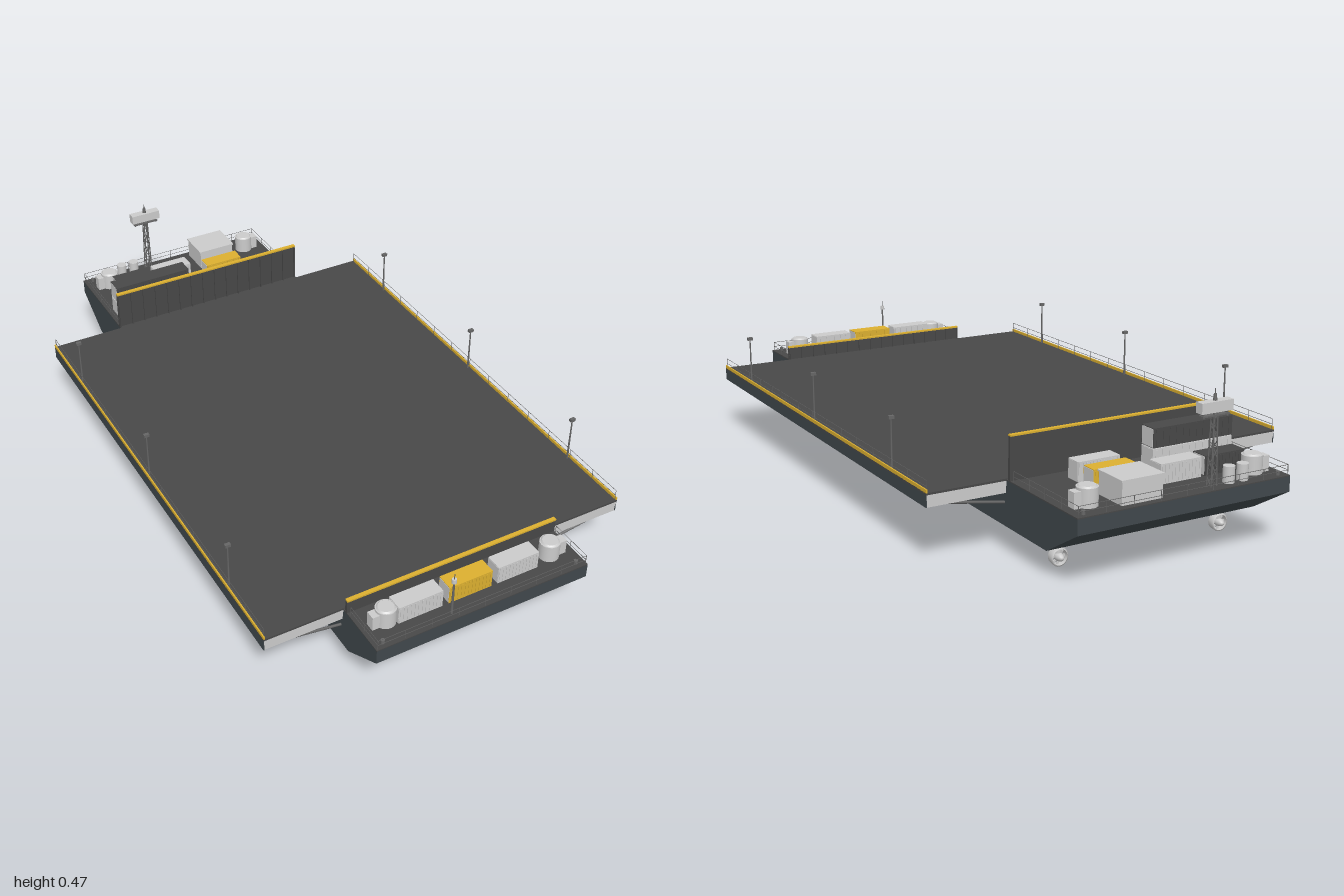
import * as THREE from 'three';

const mat = (color) => new THREE.MeshStandardMaterial({ color });
const grey = mat(0xcccccc);
const hullDark = mat(0x40484c);
const deckDark = mat(0x484848);
const yellow = mat(0xdcb030);
const postDark = mat(0x666666);

export function createModel() {
  const root = new THREE.Group();

  const add = (name, geo, m, x = 0, y = 0, z = 0, parent = root) => {
    const mesh = new THREE.Mesh(geo, m);
    mesh.name = name;
    mesh.position.set(x, y, z);
    parent.add(mesh);
    return mesh;
  };
  // Box given by its minimum and maximum on each axis
  const box = (name, m, x0, x1, y0, y1, z0, z1, parent = root) =>
    add(name, new THREE.BoxGeometry(x1 - x0, y1 - y0, z1 - z0), m,
      (x0 + x1) / 2, (y0 + y1) / 2, (z0 + z1) / 2, parent);
  const cyl = (name, m, r, y0, y1, x, z, parent = root, r2 = r, n = 16) =>
    add(name, new THREE.CylinderGeometry(r2, r, y1 - y0, n), m, x, (y0 + y1) / 2, z, parent);
  // Thin round bar between two points
  const bar = (name, m, a, b, r, parent = root, n = 6) => {
    const p = new THREE.Vector3(...a), q = new THREE.Vector3(...b);
    const mesh = add(name, new THREE.CylinderGeometry(r, r, p.distanceTo(q), n), m, 0, 0, 0, parent);
    mesh.position.copy(p).add(q).multiplyScalar(0.5);
    mesh.quaternion.setFromUnitVectors(new THREE.Vector3(0, 1, 0), q.sub(p).normalize());
    return mesh;
  };
  const group = (name) => {
    const g = new THREE.Group();
    g.name = name;
    root.add(g);
    return g;
  };

  // Hull with raked ends, extruded across the beam
  const profile = new THREE.Shape([
    [-1, 0.203], [-1, 0.16], [-0.86, 0.075], [0.86, 0.075], [1, 0.16], [1, 0.203],
  ].map(([z, y]) => new THREE.Vector2(z, y)));
  const hullGeo = new THREE.ExtrudeGeometry(profile, { depth: 0.666, bevelEnabled: false });
  hullGeo.translate(0, 0, -0.333).rotateY(Math.PI / 2);
  add('hull', hullGeo, hullDark);

  // Decks
  box('mainDeck', deckDark, -0.568, 0.568, 0.202, 0.208, -0.66, 0.83);
  box('aftDeck', deckDark, -0.333, 0.333, 0.202, 0.206, -1, -0.66);
  box('foreDeck', deckDark, -0.333, 0.333, 0.202, 0.206, 0.83, 1);

  // Railing: two rails with evenly spaced posts
  const railing = (name, a, b, h, count) => {
    const g = group(name);
    for (const k of [0.5, 1])
      bar('rail', postDark, [a[0], a[1] + h * k, a[2]], [b[0], b[1] + h * k, b[2]], 0.0008, g, 4);
    for (let i = 0; i <= count; i++) {
      const x = a[0] + (b[0] - a[0]) * i / count, z = a[2] + (b[2] - a[2]) * i / count;
      cyl('railPost', postDark, 0.001, a[1], a[1] + h, x, z, g, 0.001, 4);
    }
  };

  for (const s of [-1, 1]) {
    const side = s > 0 ? 'left' : 'right';
    const wing = group(side + 'Wing');
    const span = (name, m, xa, xb, y0, y1, z0, z1) =>
      box(name, m, Math.min(s * xa, s * xb), Math.max(s * xa, s * xb), y0, y1, z0, z1, wing);
    // Side wing: slab, edge girder, kerb, cross beams and braces
    span('wingSlab', grey, 0.333, 0.566, 0.187, 0.202, -0.66, 0.83);
    span('edgeGirder', hullDark, 0.565, 0.568, 0.168, 0.203, -0.659, 0.829);
    span('edgeKerb', yellow, 0.564, 0.568, 0.207, 0.217, -0.66, 0.83);
    for (let i = 0; i < 11; i++) {
      const z = 0.82 - i * 0.147;
      span('crossBeam', grey, 0.333, 0.565, 0.168, 0.188, z - 0.008, z + 0.008);
      bar('brace', postDark, [s * 0.33, 0.14, z], [s * 0.52, 0.172, z], 0.004, wing);
    }
    railing(side + 'Railing', [s * 0.564, 0.207, -0.655], [s * 0.564, 0.207, 0.825], 0.033, 14);
    railing(side + 'AftRailing', [s * 0.328, 0.205, -0.995], [s * 0.328, 0.205, -0.69], 0.03, 4);
    railing(side + 'ForeRailing', [s * 0.328, 0.205, 0.86], [s * 0.328, 0.205, 0.995], 0.03, 2);

    // Lamp posts along the deck edge
    for (const z of [-0.44, 0.085, 0.61]) {
      const lamp = group('lampPost');
      cyl('lampPole', postDark, 0.003, 0.207, 0.348, s * 0.557, z, lamp, 0.002, 8);
      box('lampHead', postDark, s * 0.557 - 0.008, s * 0.557 + 0.008, 0.347, 0.356, z - 0.005, z + 0.005, lamp);
    }

    for (const e of [-1, 1]) {
      // Steerable thruster: strut, pod, nozzle ring and blades
      const t = group('thruster');
      t.position.set(s * 0.26, 0.026, e * 0.8);
      cyl('strut', grey, 0.009, 0.01, 0.055, 0, 0, t);
      const pod = add('pod', new THREE.SphereGeometry(0.012, 16, 10), grey, 0, 0, 0, t);
      pod.scale.z = 2.1;
      const ring = new THREE.LatheGeometry([
        [0.022, -0.011], [0.026, -0.009], [0.024, 0.011], [0.021, 0.011], [0.022, -0.011],
      ].map(([r, y]) => new THREE.Vector2(r, y)), 28);
      ring.rotateX(Math.PI / 2);
      const nozzle = grey.clone();
      nozzle.side = THREE.DoubleSide;
      add('nozzle', ring, nozzle, 0, 0, 0, t);
      for (let i = 0; i < 4; i++) {
        const blade = add('blade', new THREE.BoxGeometry(0.042, 0.006, 0.002), grey, 0, 0, 0, t);
        blade.rotation.z = i * Math.PI / 4;
      }
      // Deck tank with its pump box
      const tz = e > 0 ? 0.92 : -0.93;
      cyl('tank', grey, 0.029, 0.205, 0.257, s * 0.26, tz, root, 0.029, 24);
      cyl('tankLid', grey, 0.026, 0.257, 0.261, s * 0.26, tz, root, 0.022, 24);
      box('pumpBox', grey, s * 0.295 - 0.012, s * 0.295 + 0.012, 0.205, 0.25, tz - 0.014, tz + 0.014);
      // Bollards at the hull corners
      cyl('bollard', postDark, 0.006, 0.205, 0.217, s * 0.305, e * 0.982, root, 0.006, 10);
    }
  }
  railing('sternRailing', [-0.328, 0.205, -0.996], [0.328, 0.205, -0.996], 0.03, 8);
  railing('bowRailing', [-0.328, 0.205, 0.996], [0.328, 0.205, 0.996], 0.03, 8);

  // Blast walls with ribs and a yellow cap
  const blastWall = (name, z, top, dir) => {
    const g = group(name);
    box('wallPlate', deckDark, -0.333, 0.333, 0.203, top, z - 0.004, z + 0.004, g);
    box('wallCap', yellow, -0.333, 0.333, top, top + 0.005, z - 0.006, z + 0.006, g);
    for (let i = 0; i <= 15; i++) {
      const x = -0.329 + i * 0.658 / 15;
      box('wallRib', deckDark, x - 0.002, x + 0.002, 0.203, top, z + dir * 0.006 - 0.003, z + dir * 0.006 + 0.003, g);
    }
  };
  blastWall('aftBlastWall', -0.675, 0.327, 1);
  blastWall('foreBlastWall', 0.845, 0.246, -1);

  // Containers with corrugated long sides and grey end doors
  const container = (m, x0, x1, z0, z1, y0 = 0.206, y1 = 0.261) => {
    const g = group('container');
    box('containerBody', m, x0, x1, y0, y1, z0, z1, g);
    for (const x of [x0, x1])
      box('endDoor', grey, x - 0.001, x + 0.001, y0 + 0.002, y1 - 0.002, z0 + 0.002, z1 - 0.002, g);
    const n = 12;
    for (let i = 0; i < n; i++) {
      const x = x0 + (x1 - x0) * (i + 0.5) / n;
      box('corrugation', m, x - 0.002, x + 0.002, y0 + 0.004, y1 - 0.004, z0 - 0.0012, z1 + 0.0012, g);
    }
  };
  container(grey, -0.235, -0.1, 0.895, 0.945);
  container(yellow, -0.08, 0.055, 0.895, 0.945);
  container(grey, 0.075, 0.205, 0.895, 0.945);
  container(grey, 0.055, 0.185, -0.775, -0.727);
  container(yellow, 0.055, 0.185, -0.847, -0.8);
  container(grey, -0.312, -0.048, -0.78, -0.727);
  container(deckDark, -0.312, -0.048, -0.78, -0.727, 0.263, 0.318);
  container(deckDark, -0.262, -0.132, -0.895, -0.843);
  container(grey, -0.12, 0.01, -0.895, -0.843);

  // Equipment house and small canisters at the stern
  box('equipmentHouse', grey, 0.066, 0.19, 0.205, 0.268, -0.98, -0.877);
  box('houseRoof', grey, 0.063, 0.193, 0.268, 0.273, -0.983, -0.874);
  for (const x of [-0.2, -0.155])
    cyl('canister', grey, 0.016, 0.205, 0.252, x, -0.965, root, 0.016, 20);

  // Lattice mast with radar scanner
  const mast = group('radarMast');
  const mx = -0.1, mz = -0.965, levels = 8;
  const corner = (k, y) => {
    const a = k * Math.PI / 2 + Math.PI / 4, r = 0.013 - 0.005 * (y - 0.205) / 0.2;
    return [mx + r * Math.cos(a), y, mz + r * Math.sin(a)];
  };
  for (let k = 0; k < 4; k++) {
    bar('mastLeg', postDark, corner(k, 0.205), corner(k, 0.405), 0.002, mast);
    for (let i = 0; i < levels; i++) {
      const y0 = 0.205 + i * 0.2 / levels, y1 = y0 + 0.2 / levels;
      bar('mastLacing', postDark, corner(k + i % 2, y0), corner(k + 1 - i % 2, y1), 0.0013, mast, 4);
    }
  }
  box('radarShelf', postDark, mx - 0.043, mx + 0.043, 0.394, 0.398, mz - 0.009, mz + 0.009, mast);
  for (const s of [-1, 1])
    box('radarBracket', postDark, mx + s * 0.038 - 0.002, mx + s * 0.038 + 0.002, 0.39, 0.408, mz - 0.006, mz + 0.006, mast);
  box('radarScanner', grey, mx - 0.05, mx + 0.05, 0.405, 0.434, mz - 0.013, mz + 0.013, mast);
  cyl('mastTop', postDark, 0.006, 0.434, 0.452, mx, mz, mast, 0.004, 10);
  cyl('mastTip', postDark, 0.0015, 0.452, 0.465, mx, mz, mast, 0.0015, 6);

  // Slim bow light mast
  const bowMast = group('bowMast');
  cyl('bowPole', postDark, 0.004, 0.205, 0.325, -0.093, 0.978, bowMast, 0.0025, 8);
  cyl('bowLight', grey, 0.007, 0.315, 0.328, -0.093, 0.978, bowMast, 0.007, 12);
  cyl('bowAntenna', postDark, 0.0015, 0.328, 0.345, -0.093, 0.978, bowMast, 0.001, 6);

  return root;
}
